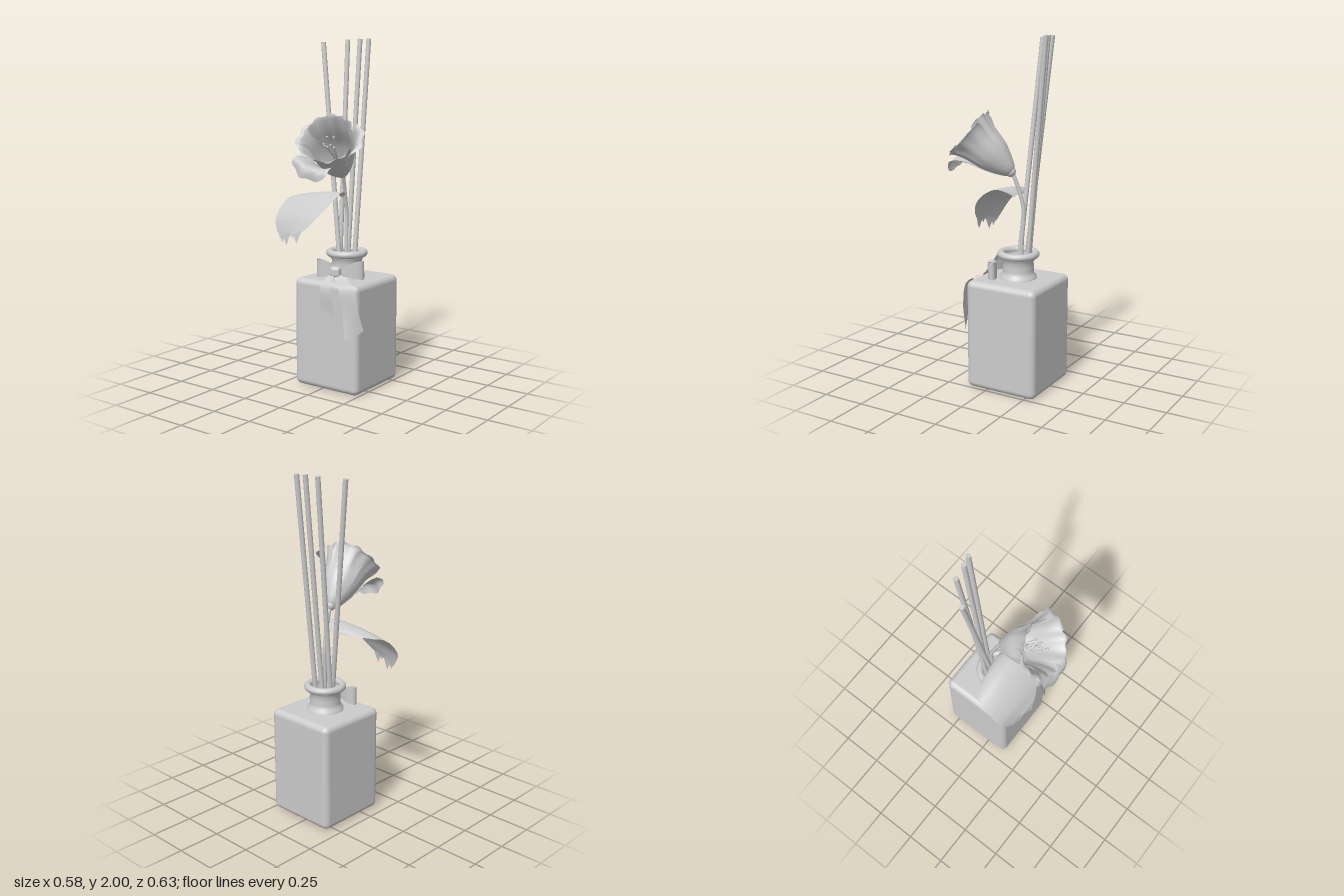
import * as THREE from 'three';
import { RoundedBoxGeometry } from 'three/addons/geometries/RoundedBoxGeometry.js';

const V = (x, y, z) => new THREE.Vector3(x, y, z);
const solid = new THREE.MeshStandardMaterial({ color: 0xcccccc });
const thin = new THREE.MeshStandardMaterial({ color: 0xcccccc, side: THREE.DoubleSide });

function add(parent, name, geometry, material = solid) {
  const mesh = new THREE.Mesh(geometry, material);
  mesh.name = name;
  parent.add(mesh);
  return mesh;
}

// Smooth sheet from a rule: point(s, a) with s and a in 0..1
function sheet(point, rows, cols) {
  const pos = [], index = [];
  for (let i = 0; i <= rows; i++) {
    for (let j = 0; j <= cols; j++) {
      pos.push(...point(i / rows, j / cols).toArray());
      if (i < rows && j < cols) {
        const k = i * (cols + 1) + j, n = k + cols + 1;
        index.push(k, n, k + 1, k + 1, n, n + 1);
      }
    }
  }
  const g = new THREE.BufferGeometry();
  g.setAttribute('position', new THREE.Float32BufferAttribute(pos, 3));
  g.setIndex(index);
  g.computeVertexNormals();
  return g;
}

// Straight rod between two points
function rod(parent, name, a, b, radius) {
  const dir = b.clone().sub(a);
  const m = add(parent, name, new THREE.CylinderGeometry(radius, radius, dir.length(), 14));
  m.position.copy(a).lerp(b, 0.5);
  m.quaternion.setFromUnitVectors(V(0, 1, 0), dir.normalize());
}

// Ribbon spanned between two smooth edge curves
function ribbon(parent, name, left, right) {
  const l = new THREE.CatmullRomCurve3(left.map((p) => V(...p)));
  const r = new THREE.CatmullRomCurve3(right.map((p) => V(...p)));
  add(parent, name, sheet((s, a) => l.getPoint(s).lerp(r.getPoint(s), a), 24, 4), thin);
}

function buildBottle() {
  const g = new THREE.Group();
  g.name = 'bottle';
  g.position.set(0.03, 0, -0.09);
  add(g, 'bottleBody', new RoundedBoxGeometry(0.44, 0.635, 0.44, 5, 0.035)).position.y = 0.3175;
  // Open neck: outer wall, then back down the inside
  const profile = [[0.108, 0.63], [0.105, 0.648], [0.092, 0.66], [0.088, 0.68], [0.09, 0.705],
    [0.086, 0.73], [0.098, 0.748], [0.1, 0.76], [0.08, 0.765], [0.076, 0.64], [0, 0.638]];
  add(g, 'neck', new THREE.LatheGeometry(profile.map((p) => new THREE.Vector2(...p)), 40), thin);
  const rim = add(g, 'rim', new THREE.TorusGeometry(0.1, 0.021, 12, 40));
  rim.rotation.x = Math.PI / 2;
  rim.position.y = 0.774;
  return g;
}

function buildReeds() {
  const g = new THREE.Group();
  g.name = 'reeds';
  const reeds = [
    [V(-0.167, 1.98, -0.13), V(0.05, 0.25, -0.05)],
    [V(-0.073, 1.995, -0.24), V(-0.025, 0.5, -0.085)],
    [V(0.004, 1.998, -0.254), V(0.0, 0.5, -0.12)],
    [V(0.055, 1.998, -0.268), V(0.037, 0.5, -0.134)],
  ];
  for (const [top, bottom] of reeds) rod(g, 'reed', bottom, top, 0.014);
  return g;
}

function buildFlower() {
  const g = new THREE.Group();
  g.name = 'flower';
  const stem = new THREE.CatmullRomCurve3([V(0.025, 0.5, -0.095), V(0.015, 0.85, -0.105),
    V(0.01, 1.02, -0.112), V(0.017, 1.14, -0.085), V(0.03, 1.25, -0.045)]);
  add(g, 'stem', new THREE.TubeGeometry(stem, 24, 0.011, 10));

  // Flower frame: w along the trumpet, u sideways, v upwards
  const base = V(0.03, 1.235, -0.048);
  const w = V(0.207, 0.656, 0.725).normalize();
  const u = V(0, 1, 0).cross(w).normalize();
  const v = w.clone().cross(u);
  const at = (t, r, phi) => base.clone().addScaledVector(w, t)
    .addScaledVector(u, r * Math.cos(phi)).addScaledVector(v, r * Math.sin(phi));
  add(g, 'calyx', new THREE.SphereGeometry(0.03, 12, 8)).position.copy(at(0.012, 0, 0));

  // Petals: [angle in degrees, half width, outward curl, layer offset]
  const petals = [[5, 0.72, 0.035, 0.004], [62, 0.7, 0.0, -0.006], [112, 0.75, 0.005, 0.003],
    [168, 0.72, 0.035, -0.003], [248, 0.68, 0.085, 0.006], [222, 0.6, 0.01, -0.006], [300, 0.75, 0.01, -0.004]];
  for (const [deg, half, curl, layer] of petals) {
    const phi = THREE.MathUtils.degToRad(deg);
    const rib = new THREE.SplineCurve([[0, 0.014], [0.022, 0.042], [0.09, 0.079], [0.155, 0.104],
      [0.25, 0.122 + curl * 0.2], [0.315 - curl * 0.1, 0.145 + curl * 0.6], [0.338 - curl * 0.85, 0.158 + curl]]
      .map((p) => new THREE.Vector2(...p)));
    add(g, 'petal', sheet((s, j) => {
      const a = j * 2 - 1;
      const p = rib.getPoint(s * (1 - 0.22 * a ** 4 - 0.015 * (1 + Math.cos(11 * a))));
      const ruffle = 0.007 * s ** 4 * Math.sin(9 * a + deg);
      return at(p.x, p.y + layer * s + ruffle, phi + a * half);
    }, 18, 20), thin);
  }

  // Stamens with small anthers
  for (let i = 0; i < 7; i++) {
    const phi = i * 0.9 + 0.3, end = 0.27 + 0.02 * (i % 3), r = i ? 0.03 + 0.012 * (i % 2) : 0;
    const tip = at(end, r, phi);
    const path = new THREE.CatmullRomCurve3([at(0.03, 0.004, phi), at(end * 0.65, r * 0.4, phi), tip]);
    add(g, 'filament', new THREE.TubeGeometry(path, 10, 0.0022, 6));
    add(g, 'anther', new THREE.SphereGeometry(0.007, 8, 6)).position.copy(tip);
  }
  return g;
}

// Broad drooping leaf with a ragged tip: spine stations are [z, y, x min, x max]
function buildLeaf() {
  const stations = [[-0.06, 1.095, -0.03, 0.02], [-0.03, 1.125, -0.18, 0.06], [0.03, 1.14, -0.275, 0.08],
    [0.1, 1.11, -0.29, 0.08], [0.16, 1.06, -0.29, 0.065], [0.2, 1.01, -0.285, 0.03],
    [0.225, 0.96, -0.255, -0.01], [0.245, 0.91, -0.215, -0.07]];
  const spine = new THREE.CatmullRomCurve3(stations.map(([z, y]) => V(0, y, z)));
  const span = new THREE.CatmullRomCurve3(stations.map(([, , l, r]) => V(l, r, 0)));
  const geometry = sheet((s, a) => {
    const p = spine.getPoint(s), e = span.getPoint(s);
    const tear = s > 0.99 ? [0.01, -0.02, 0.0, -0.025, -0.05, -0.03, -0.005][Math.round(a * 12) % 7] : 0;
    const tilt = 0.045 * (1 - a) * Math.min(1, s * 4);
    return V(THREE.MathUtils.lerp(e.x, e.y, a), p.y - tilt + tear + 0.012 * Math.sin(a * Math.PI),
      p.z - 0.03 * (1 - a) * s);
  }, 24, 12);
  const g = new THREE.Group();
  add(g, 'leaf', geometry, thin);
  return g;
}

function buildBow() {
  const g = new THREE.Group();
  g.name = 'bow';
  // Each loop is a teardrop band that grows taller away from the knot
  const knot = V(0.062, 0.69, 0.055);
  for (const end of [V(0.2, 0.7, -0.015), V(-0.075, 0.695, 0.055)]) {
    const out = end.clone().sub(knot);
    const side = V(-out.z, 0, out.x).normalize();
    add(g, 'bowLoop', sheet((s, a) => {
      const angle = s * Math.PI * 2, reach = (1 - Math.cos(angle)) / 2;
      return knot.clone().addScaledVector(out, reach)
        .addScaledVector(side, 0.034 * Math.sin(angle) * (0.4 + 0.6 * reach))
        .add(V(0, (a - 0.5) * (0.045 + 0.06 * reach), 0));
    }, 32, 4), thin);
  }
  const k = add(g, 'knot', new RoundedBoxGeometry(0.062, 0.062, 0.05, 3, 0.018));
  k.position.set(0.062, 0.688, 0.065);
  k.rotation.y = 0.25;
  // Tails run over the shoulder and hang down the front
  ribbon(g, 'longTail',
    [[0.05, 0.68, 0.07], [0.09, 0.645, 0.105], [0.135, 0.62, 0.145], [0.17, 0.48, 0.152], [0.195, 0.325, 0.165]],
    [[0.08, 0.68, 0.06], [0.17, 0.65, 0.09], [0.235, 0.625, 0.13], [0.265, 0.5, 0.135], [0.285, 0.385, 0.108]]);
  ribbon(g, 'shortTail',
    [[0.045, 0.68, 0.075], [0.01, 0.645, 0.11], [0.0, 0.6, 0.136], [0.005, 0.48, 0.133]],
    [[0.07, 0.68, 0.075], [0.065, 0.645, 0.11], [0.075, 0.6, 0.136], [0.1, 0.45, 0.132]]);
  return g;
}

export function createModel() {
  const model = new THREE.Group();
  model.name = 'reedDiffuser';
  model.add(buildBottle(), buildReeds(), buildFlower(), buildLeaf(), buildBow());
  return model;
}
